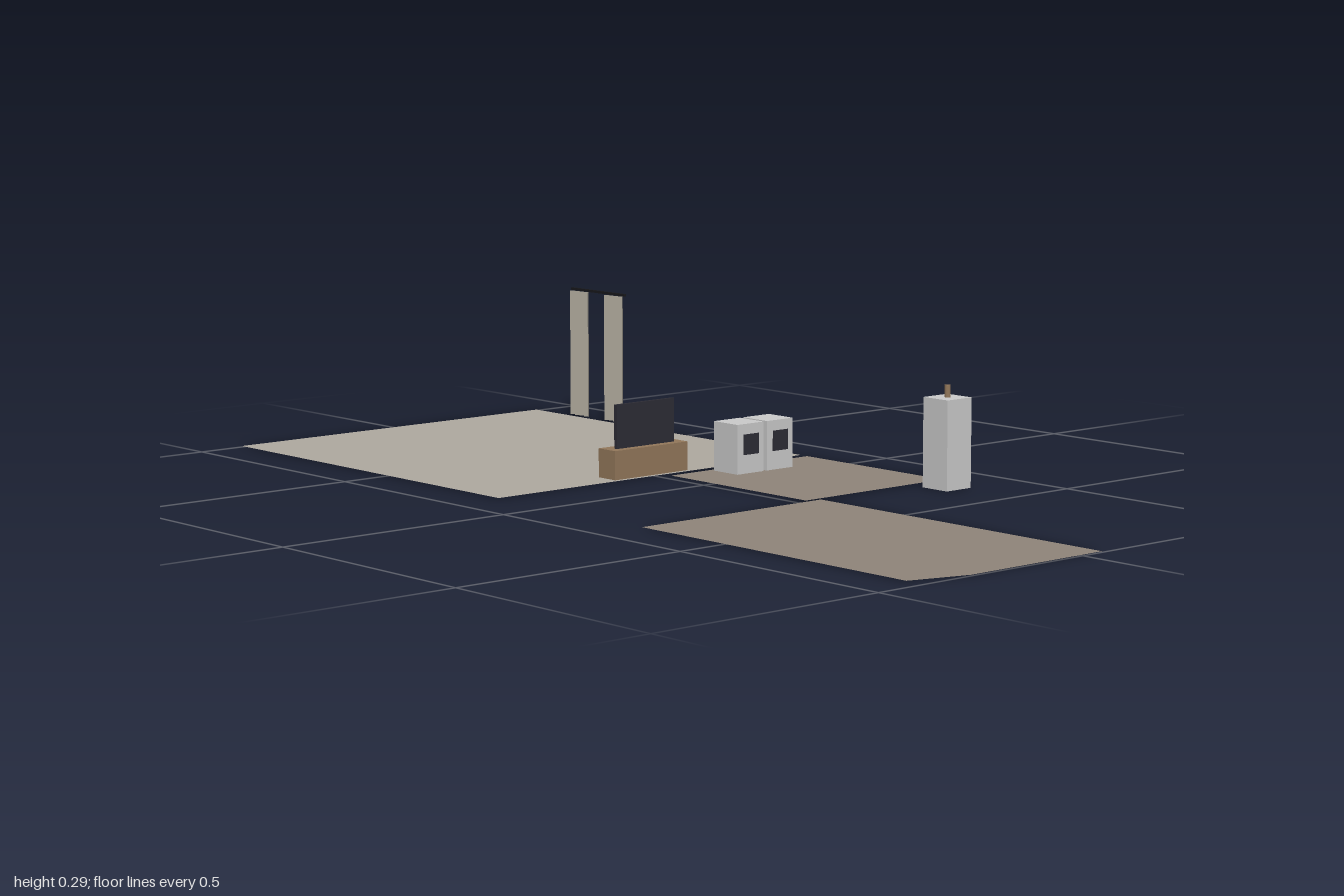
import * as THREE from 'three';

const mat = (name, color, side = THREE.FrontSide) => {
  const m = new THREE.MeshStandardMaterial({ color, side });
  m.name = name;
  return m;
};

export function createModel() {
  const group = new THREE.Group();
  const DS = THREE.DoubleSide;
  const stone = mat('pale stone', 0xafa9a0, DS);
  const taupe = mat('taupe floor', 0x90857a, DS);
  const rugBrown = mat('rug brown', 0x786558);
  const wood = mat('wood', 0x93785b);
  const metal = mat('light grey', 0xcbcbcb);
  const dark = mat('dark glass', 0x2d2c35);
  const black = mat('black', 0x18181b);
  const cloth = mat('curtain cloth', 0xa8a295, DS);

  const add = (name, geometry, material) => {
    const mesh = new THREE.Mesh(geometry, material);
    mesh.name = name;
    group.add(mesh);
    return mesh;
  };
  // Box given by its limits on each axis
  const box = (name, material, x0, x1, y0, y1, z0, z1) => {
    const m = add(name, new THREE.BoxGeometry(x1 - x0, y1 - y0, z1 - z0), material);
    m.position.set((x0 + x1) / 2, (y0 + y1) / 2, (z0 + z1) / 2);
    return m;
  };
  // Flat floor from an outline of [x, z] points
  const floor = (name, material, points) => {
    const shape = new THREE.Shape(points.map(([x, z]) => new THREE.Vector2(x, -z)));
    const m = add(name, new THREE.ShapeGeometry(shape), material);
    m.rotation.x = -Math.PI / 2;
    m.position.y = 0.002;
  };

  // Floors of the three rooms
  floor('livingFloor', stone, [[-0.4, -0.14], [0.39, -0.14], [0.39, -1], [-0.4, -1]]);
  floor('utilityFloor', taupe, [[0.02, 0.27], [0.39, 0.27], [0.39, -0.12], [0.02, -0.12]]);
  floor('bedroomFloor', taupe,
    [[-0.4, 0.28], [-0.4, 0.965], [-0.28, 1], [0.05, 1], [0.05, 0.28]]);

  // Thin rugs set just beneath the floor surfaces
  box('livingRug', rugBrown, -0.16, 0.13, 0, 0.001, -0.93, -0.72);
  box('bedroomRug', rugBrown, -0.37, 0.015, 0, 0.001, 0.34, 0.94);

  // Media bench and screen
  box('bench', wood, -0.1, 0.09, 0, 0.06, -0.2, -0.15);
  box('screen', dark, -0.08, 0.07, 0.06, 0.148, -0.176, -0.168);

  // Two laundry machines with dark front windows
  for (const x of [0.125, 0.204]) {
    box('laundryMachine', metal, x, x + 0.07, 0, 0.102, -0.11, -0.04);
    box('machineWindow', dark, x + 0.016, x + 0.056, 0.04, 0.081, -0.041, -0.038);
  }

  // Tall cabinet with a small wooden post
  box('cabinet', metal, 0.302, 0.368, 0, 0.178, 0.302, 0.368);
  add('cabinetPost', new THREE.CylinderGeometry(0.006, 0.006, 0.024, 10), wood)
    .position.set(0.335, 0.19, 0.335);

  // Pleated curtains hanging from a rod
  const folds = 8;
  for (const z of [-0.73, -0.845]) {
    const g = new THREE.PlaneGeometry(0.06, 0.274, folds, 1);
    const p = g.attributes.position;
    for (let i = 0; i < p.count; i++) p.setZ(i, (i % (folds + 1)) % 2 ? 0.0045 : -0.0045);
    const pleated = g.toNonIndexed();
    pleated.computeVertexNormals();
    const curtain = add('curtain', pleated, cloth);
    curtain.rotation.y = Math.PI / 2;
    curtain.position.set(0.39, 0.143, z);
  }
  box('curtainRod', black, 0.39, 0.396, 0.281, 0.286, -0.877, -0.698);

  return group;
}
